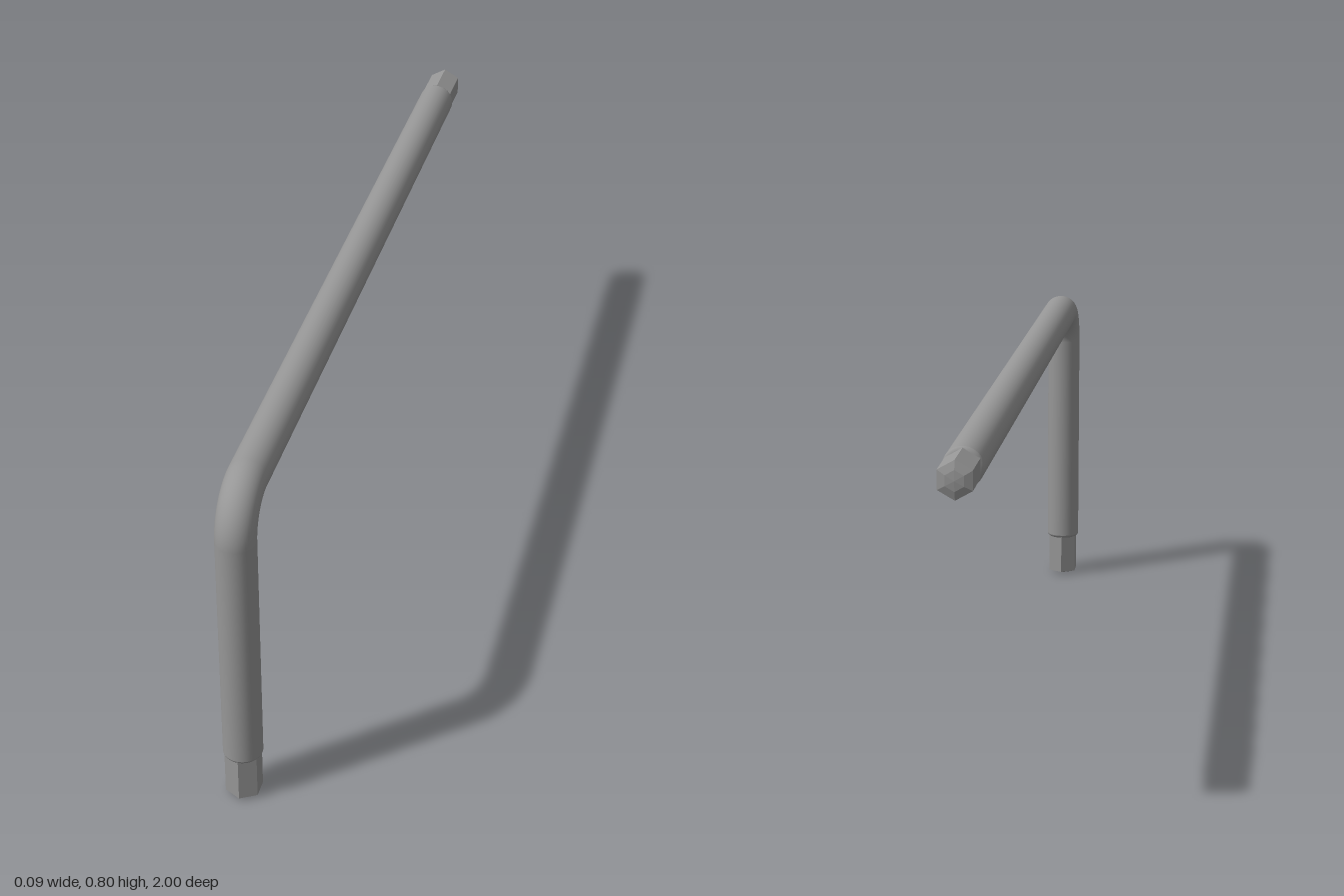
import * as THREE from 'three';

const ROD = 0.043;    // rod radius
const HEX = 0.041;    // hex corner radius
const BEND = 0.093;   // centreline bend radius
const TOP = 0.761;    // height of the long arm's axis
const FRONT = 0.957;  // z of the short arm's axis
const TIP = 0.115;    // distance from each tip to the full rod

export function createModel() {
  const model = new THREE.Group();
  const steel = new THREE.MeshStandardMaterial({ color: 0x969696 });
  const facetedSteel = new THREE.MeshStandardMaterial({ color: 0x969696, flatShading: true });

  const add = (parent, name, geometry, material = steel) => {
    const mesh = new THREE.Mesh(geometry, material);
    mesh.name = name;
    parent.add(mesh);
    return mesh;
  };
  const lathe = (points, sides) =>
    new THREE.LatheGeometry(points.map(([r, y]) => new THREE.Vector2(r, y)), sides);

  // Straight arms
  const shortLength = TOP - BEND - TIP;
  add(model, 'shortArm', new THREE.CylinderGeometry(ROD, ROD, shortLength, 48, 1, true))
    .position.set(0, TIP + shortLength / 2, FRONT);

  const longEnd = -1 + TIP;
  const longLength = FRONT - BEND - longEnd;
  const longArm = add(model, 'longArm', new THREE.CylinderGeometry(ROD, ROD, longLength, 48, 1, true));
  longArm.rotation.x = Math.PI / 2;
  longArm.position.set(0, TOP, longEnd + longLength / 2);

  // Quarter-turn elbow
  const elbow = add(model, 'elbow', new THREE.TorusGeometry(BEND, ROD, 48, 24, Math.PI / 2));
  elbow.rotation.y = -Math.PI / 2;
  elbow.position.set(0, TOP - BEND, FRONT - BEND);

  // Hex bit with a shallow domed end, and the rod's rounded shoulder; the tip is at the origin
  const makeEnd = (name) => {
    const end = new THREE.Group();
    end.name = name;
    add(end, 'hexBit', lathe([[0, 0], [0.022, 0.002], [HEX, 0.008], [HEX, TIP + 0.01]], 6), facetedSteel);
    add(end, 'shoulder', lathe([[0.035, TIP - 0.008], [0.039, TIP - 0.0065], [0.042, TIP - 0.003], [ROD, TIP]], 48));
    model.add(end);
    return end;
  };

  makeEnd('shortEnd').position.set(0, 0, FRONT);
  const far = makeEnd('longEnd');
  far.rotation.x = Math.PI / 2;
  far.position.set(0, TOP, -1);

  return model;
}
